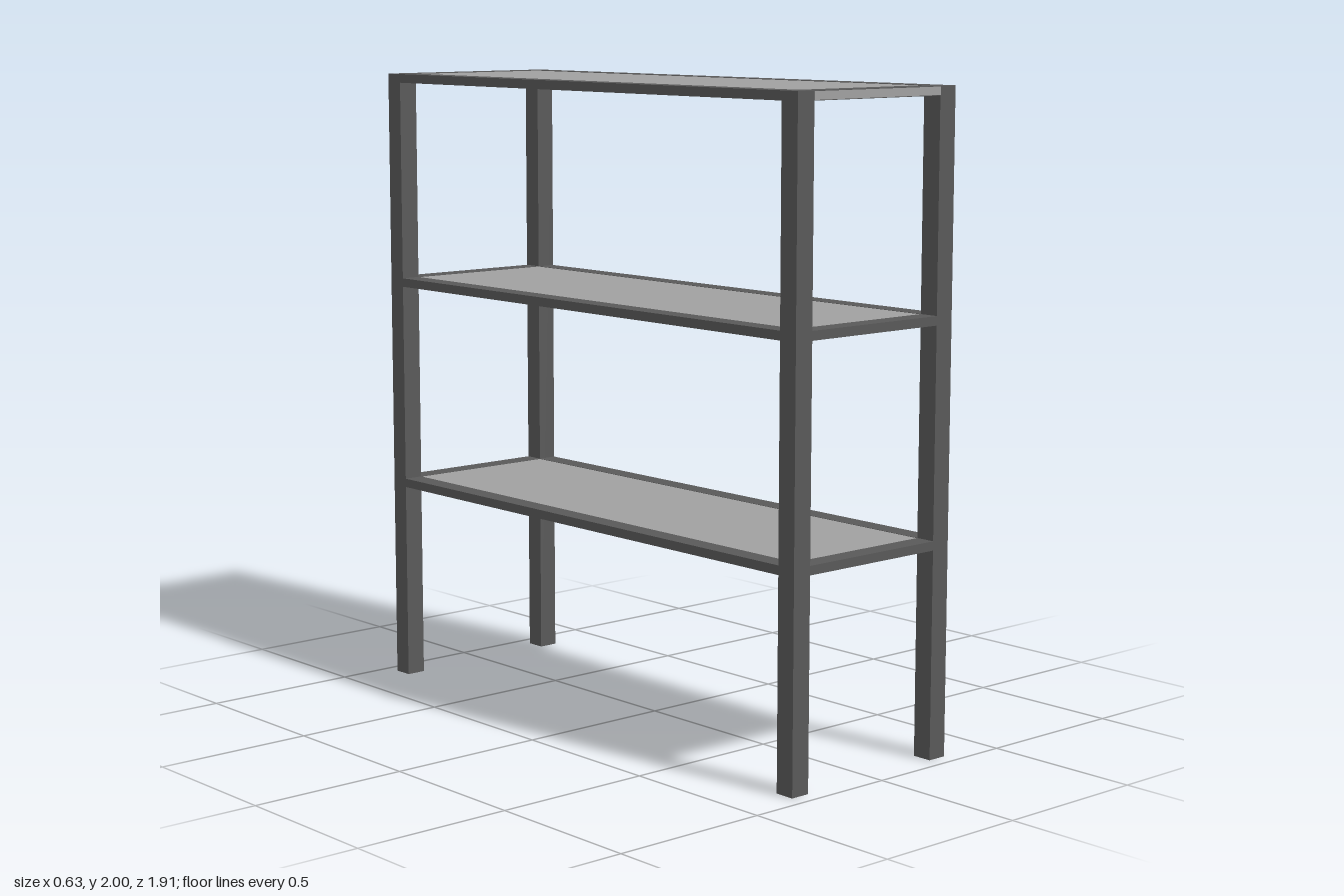
import * as THREE from 'three';

const X = 0.3175, Z = 0.9525;          // half width and half depth
const T = 0.0635, RAIL_H = 0.028;      // tube width and rail height
const PANEL_H = 0.01;
const SHELF_TOPS = [0.667, 1.335, 2];

const frame = new THREE.MeshStandardMaterial({ color: 0x595959 });
const board = new THREE.MeshStandardMaterial({ color: 0xa0a0a0 });

function box(name, material, size, position) {
  const mesh = new THREE.Mesh(new THREE.BoxGeometry(...size), material);
  mesh.name = name;
  mesh.position.set(...position);
  return mesh;
}

export function createModel() {
  const model = new THREE.Group();
  model.name = 'shelfUnit';
  const innerW = 2 * (X - T), innerD = 2 * (Z - T);

  // Four full-height corner legs
  for (const [sx, side] of [[1, 'Left'], [-1, 'Right']]) {
    for (const [sz, end] of [[1, 'front'], [-1, 'back']]) {
      model.add(box(`${end}${side}Leg`, frame, [T, 2, T],
        [sx * (X - T / 2), 1, sz * (Z - T / 2)]));
    }
  }

  // Each shelf: rails between the legs around a thin panel
  SHELF_TOPS.forEach((top, i) => {
    const shelf = new THREE.Group();
    shelf.name = `shelf${i + 1}`;
    const y = top - RAIL_H / 2;
    for (const s of [1, -1]) {
      shelf.add(box(s > 0 ? 'leftRail' : 'rightRail', frame,
        [T, RAIL_H, innerD], [s * (X - T / 2), y, 0]));
      shelf.add(box(s > 0 ? 'frontRail' : 'backRail', frame,
        [innerW, RAIL_H, T], [0, y, s * (Z - T / 2)]));
    }
    shelf.add(box('panel', board, [innerW, PANEL_H, innerD],
      [0, top - PANEL_H / 2 - 0.001, 0]));
    model.add(shelf);
  });

  // Pale edging strip on the face of the top front rail
  model.add(box('frontEdging', board, [innerW, RAIL_H - 0.004, 0.002],
    [0, 2 - RAIL_H / 2, Z]));

  return model;
}
